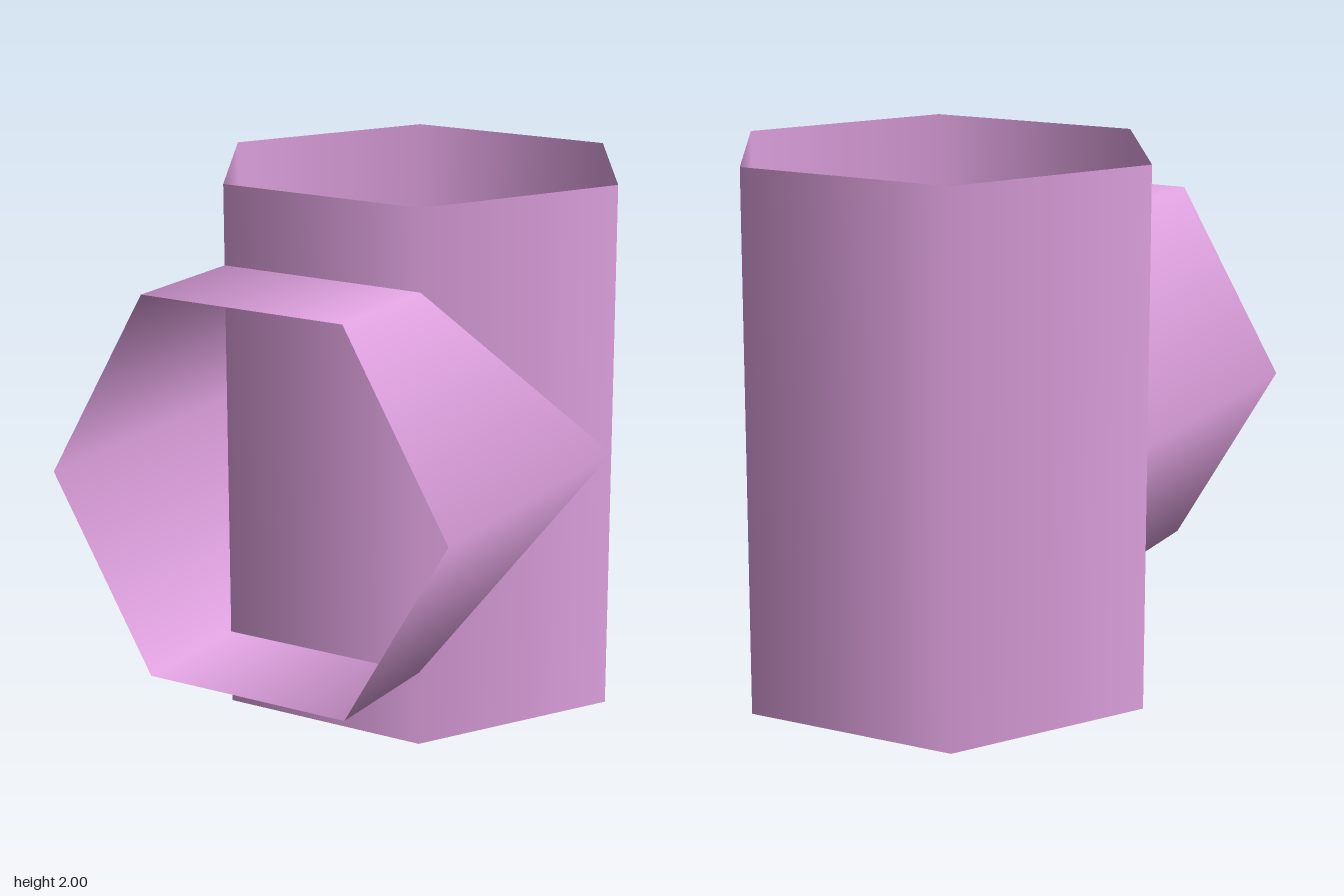
import * as THREE from 'three';

const R = 0.82;          // hexagon corner radius
const AXIS_Z = -0.26;    // upright tube axis
const FRONT_Z = 0.97;    // open mouth of the branch

// Open six-sided tube with smooth normals, corners on +x and -x
function hexTube(height) {
  return new THREE.CylinderGeometry(R, R, height, 6, 1, true, Math.PI / 6);
}

export function createModel() {
  const group = new THREE.Group();
  const plum = new THREE.MeshStandardMaterial({ color: 0xdda0dd, side: THREE.DoubleSide });
  plum.name = 'plum';

  // Upright tube, open at both ends
  const upright = new THREE.Mesh(hexTube(2), plum);
  upright.name = 'uprightTube';
  upright.position.set(0, 1, AXIS_Z);
  group.add(upright);

  // Forward branch, its back end mitred to the faces of the upright tube
  const geometry = hexTube(1).rotateX(Math.PI / 2);
  const p = geometry.attributes.position;
  for (let i = 0; i < p.count; i++) {
    const back = AXIS_Z + Math.abs(p.getY(i));
    p.setZ(i, p.getZ(i) > 0 ? FRONT_Z : back);
  }
  const branch = new THREE.Mesh(geometry, plum);
  branch.name = 'branchTube';
  branch.position.y = 0.99;
  group.add(branch);

  return group;
}
